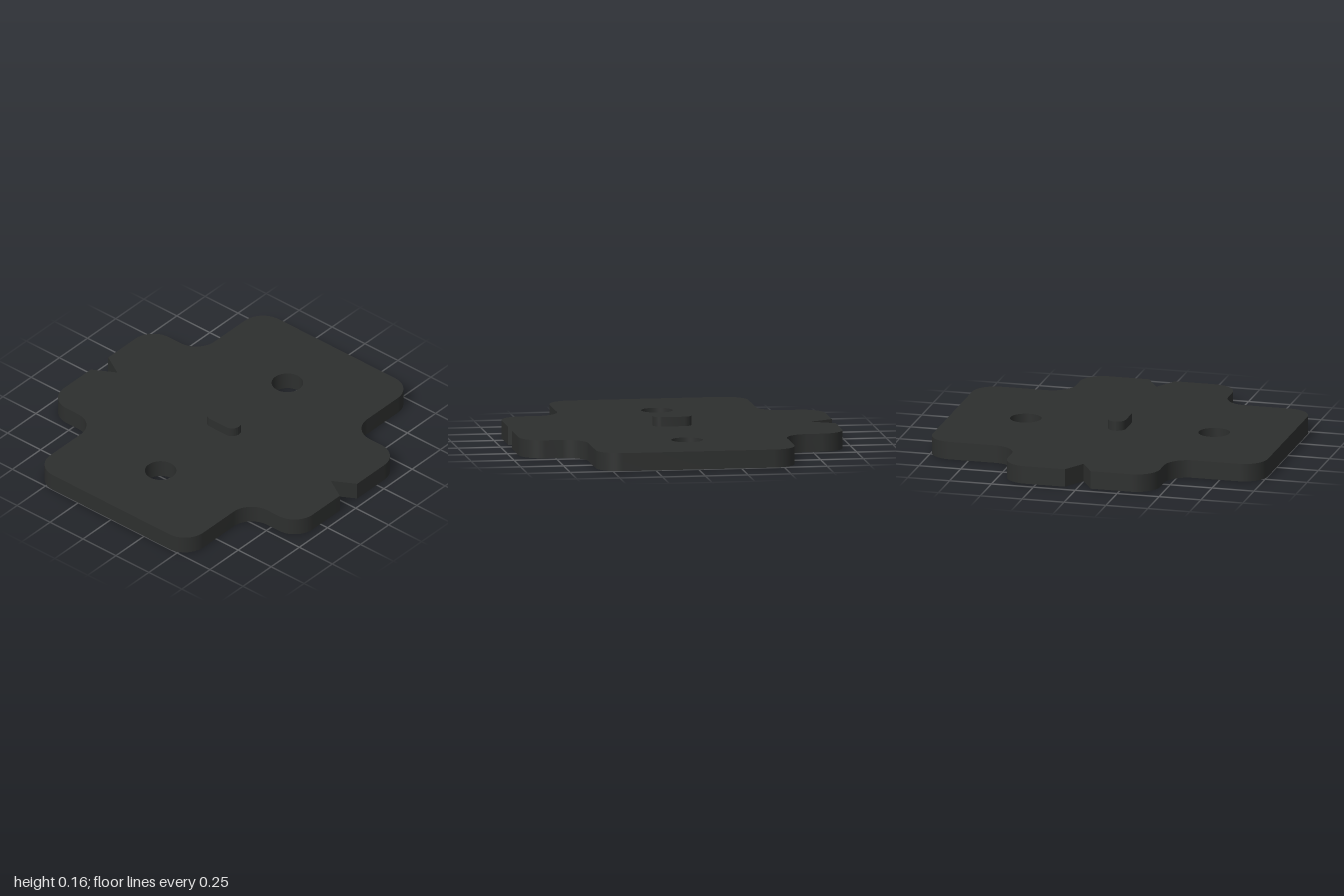
import * as THREE from 'three';
import { toCreasedNormals } from 'three/addons/utils/BufferGeometryUtils.js';

const material = new THREE.MeshStandardMaterial({ color: 0x2d2f2e });

// Extrude a plan shape upwards from height y, with smooth rounded sides
function slab(name, shape, y, height) {
  const extruded = new THREE.ExtrudeGeometry(shape, { depth: height, bevelEnabled: false, curveSegments: 24 });
  extruded.rotateX(-Math.PI / 2).translate(0, y, 0);
  const mesh = new THREE.Mesh(toCreasedNormals(extruded, 0.6), material);
  mesh.name = name;
  return mesh;
}

// Cross-shaped outline: one quarter, mirrored to all four
function plateShape() {
  const r = 0.138, armX = 0.945, armZ = 0.455, bodyX = 0.58, bodyZ = 1;
  const quarter = new THREE.Path();
  quarter.moveTo(0.81, 0); // tip of side notch
  quarter.lineTo(armX, 0.077);
  quarter.absarc(armX - r, armZ - r, r, 0, Math.PI / 2);
  quarter.absarc(bodyX + r, armZ + r, r, -Math.PI / 2, -Math.PI, true);
  quarter.absarc(bodyX - r, bodyZ - r, r, 0, Math.PI / 2);
  const q = quarter.getPoints(14);
  const flip = (pts, sx, sy) => pts.map((p) => new THREE.Vector2(p.x * sx, p.y * sy));
  const back = q.slice(1).reverse();
  const shape = new THREE.Shape([...q, ...flip(back, -1, 1), ...flip(q, -1, -1), ...flip(back, 1, -1)]);

  // Two screw holes
  for (const z of [-0.562, 0.562]) {
    shape.holes.push(new THREE.Path().absarc(0, z, 0.091, 0, Math.PI * 2, true));
  }
  return shape;
}

// Slot-shaped key with round ends
function keyShape() {
  const r = 0.052, c = 0.062;
  const shape = new THREE.Shape();
  shape.absarc(c, 0, r, -Math.PI / 2, Math.PI / 2);
  shape.absarc(-c, 0, r, Math.PI / 2, Math.PI * 1.5);
  return shape;
}

export function createModel() {
  const group = new THREE.Group();
  group.name = 'mountingPlate';
  group.add(slab('plate', plateShape(), 0, 0.105));
  group.add(slab('locatingKey', keyShape(), 0.105, 0.055));
  return group;
}
